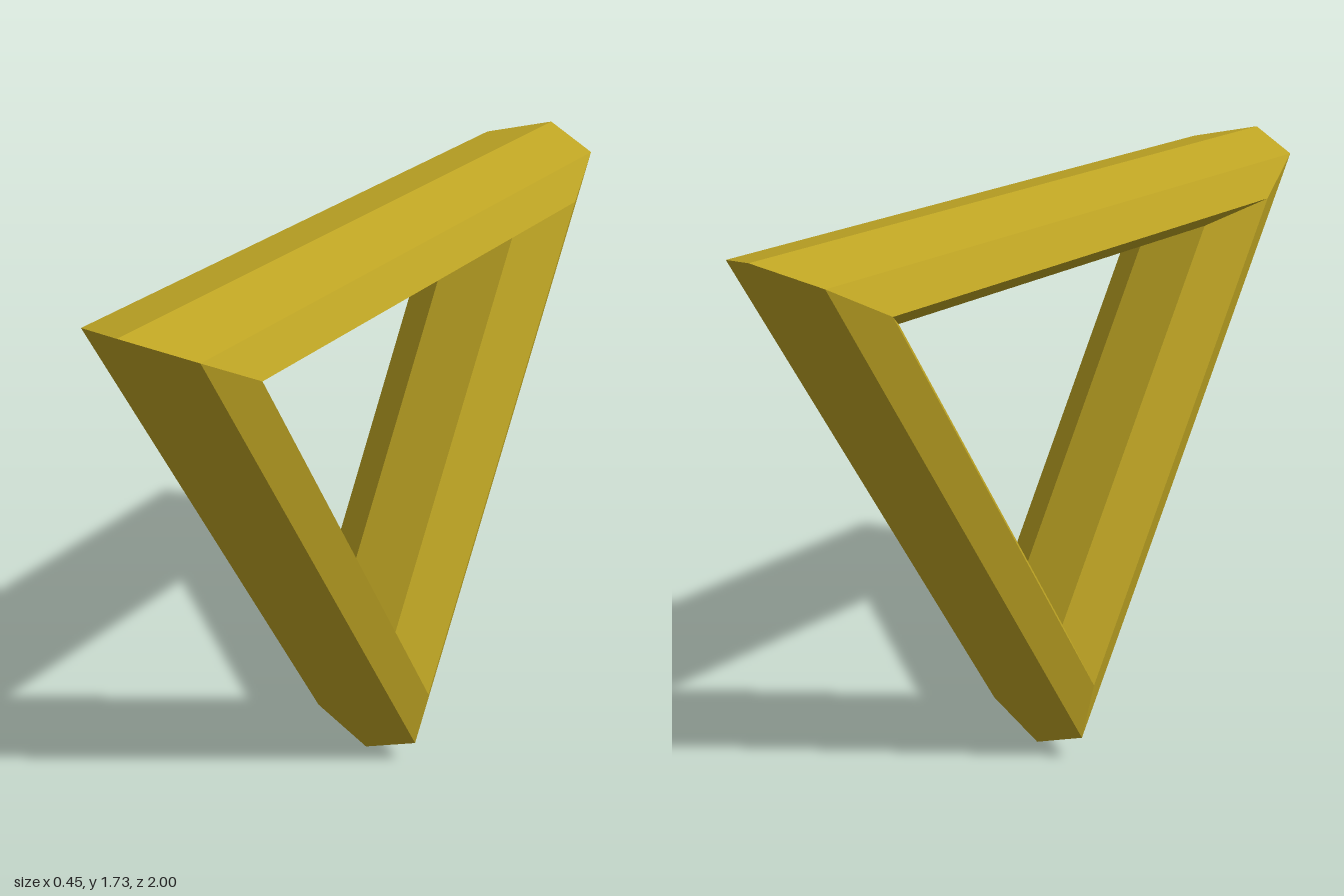
import * as THREE from 'three';

export function createModel() {
  const model = new THREE.Group();
  model.name = 'triangleRing';

  const material = new THREE.MeshStandardMaterial({ color: 0xc0a624, flatShading: true });

  // Ring of three bars with a seven-sided section, ridge facing outwards
  const radius = 0.925;
  const tube = 0.23;
  const geometry = new THREE.TorusGeometry(radius, tube, 7, 3);
  geometry.rotateZ(-Math.PI / 2); // one corner points down
  geometry.rotateY(Math.PI / 2); // ring lies in the y-z plane
  geometry.translate(0, radius + tube, 0); // lower corner on the ground

  const ring = new THREE.Mesh(geometry, material);
  ring.name = 'ring';
  model.add(ring);

  return model;
}
